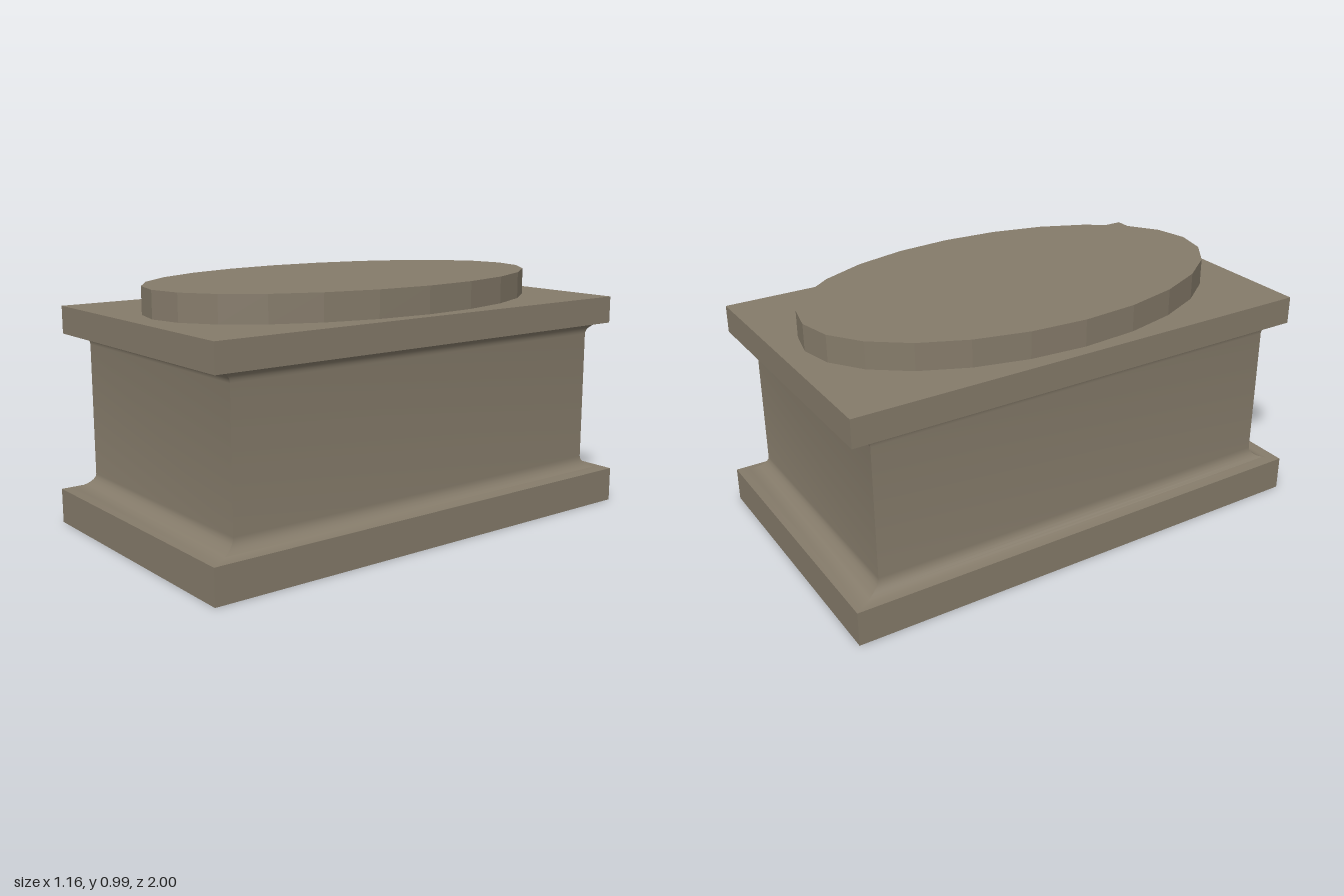
import * as THREE from 'three';
import { toCreasedNormals } from 'three/addons/utils/BufferGeometryUtils.js';

const WIDTH_RATIO = 0.582; // plan width divided by plan depth
const STEPS = 8;

// Quarter-ellipse cove between the body wall and a wider ledge
function cove(wall, ledge, wallY, ledgeY) {
  return Array.from({ length: STEPS + 1 }, (_, i) => {
    const a = (i / STEPS) * Math.PI / 2;
    return [ledge - (ledge - wall) * Math.cos(a), wallY + (ledgeY - wallY) * Math.sin(a)];
  });
}

// Sweep a [half depth, height] profile around the rectangular plan
function rectangularSweep(profile) {
  const points = profile.map(([r, y]) => new THREE.Vector2(r * Math.SQRT2, y));
  const geometry = new THREE.LatheGeometry(points, 4, Math.PI / 4);
  geometry.scale(WIDTH_RATIO, 1, 1);
  return toCreasedNormals(geometry, 0.6);
}

export function createModel() {
  const group = new THREE.Group();
  group.name = 'pedestal';
  const stone = new THREE.MeshStandardMaterial({ color: 0x857b6a });
  stone.name = 'stone';

  const add = (name, geometry) => {
    const mesh = new THREE.Mesh(geometry, stone);
    mesh.name = name;
    group.add(mesh);
    return mesh;
  };

  // Plinth, body and cornice as one moulded profile
  add('mouldedBody', rectangularSweep([
    [0, 0], [1, 0], [1, 0.14],
    ...cove(0.88, 1, 0.2, 0.14).reverse().slice(1),
    ...cove(0.88, 0.95, 0.73, 0.775),
    [0.97, 0.775], [0.97, 0.885], [0, 0.885],
  ]));

  // Faceted oval slab on top
  const slab = new THREE.CylinderGeometry(0.88, 0.88, 0.107, 24);
  slab.scale(WIDTH_RATIO, 1, 1);
  const oval = add('ovalSlab', toCreasedNormals(slab, 0.05));
  oval.position.y = 0.9385;

  return group;
}
